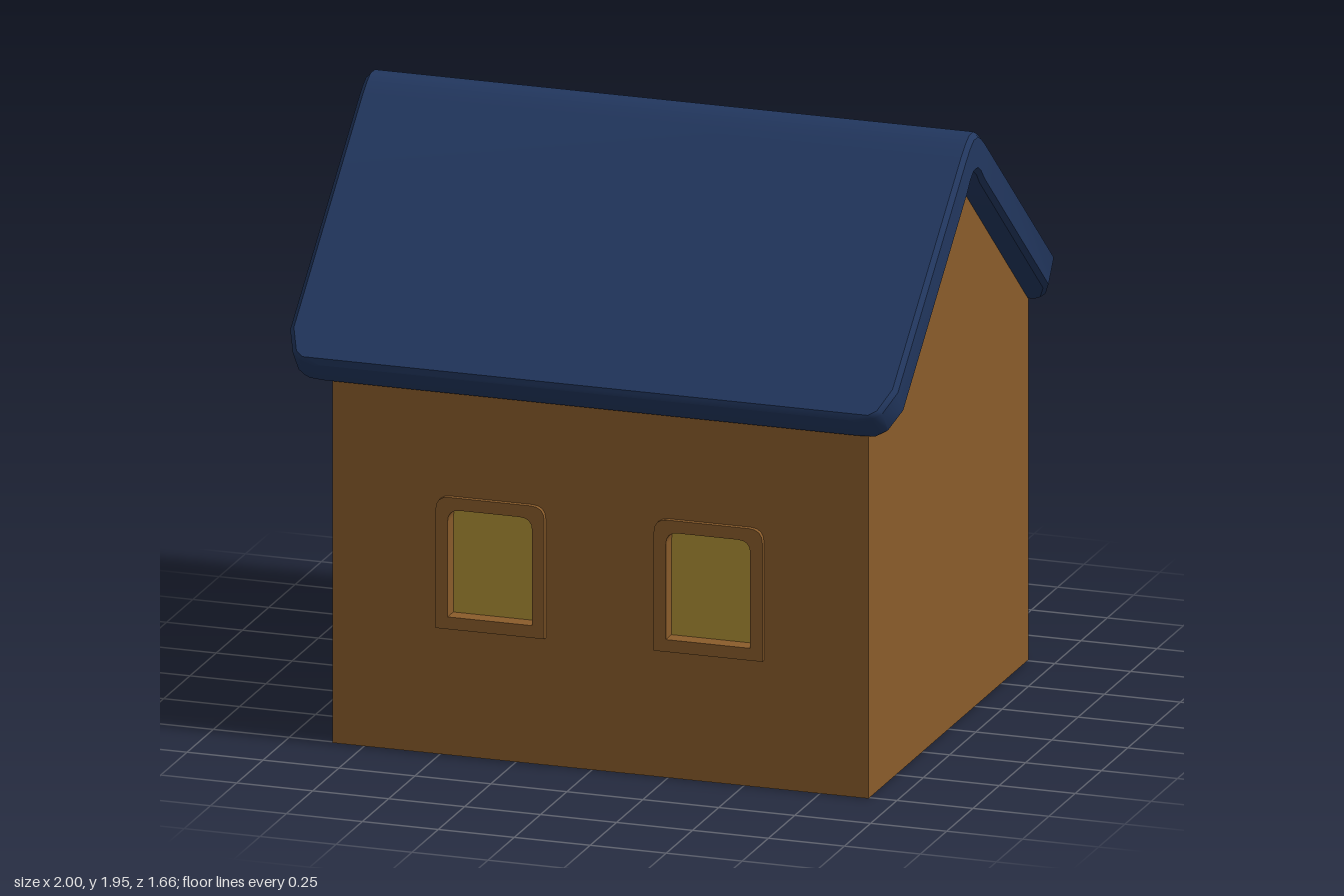
import * as THREE from 'three';
import { toCreasedNormals } from 'three/addons/utils/BufferGeometryUtils.js';

const mat = (color) => new THREE.MeshStandardMaterial({ color });
const WALL = mat(0x8a5c2b), ROOF = mat(0x22375f), GLASS = mat(0xb09035);
const STONE = mat(0x61503c), DOOR = mat(0x4a3a28);

function add(parent, name, geometry, material) {
  const mesh = new THREE.Mesh(geometry, material);
  mesh.name = name;
  parent.add(mesh);
  return mesh;
}

// Extrude a shape from z0 to z1, with an optional chamfer on the front and back edges
function slab(shape, z0, z1, bevel = 0) {
  const g = new THREE.ExtrudeGeometry(shape, {
    depth: z1 - z0 - 2 * bevel, bevelEnabled: bevel > 0, bevelSize: bevel,
    bevelThickness: bevel, bevelOffset: -bevel, bevelSegments: 1, curveSegments: 4,
  });
  g.translate(0, 0, z0 + bevel);
  return toCreasedNormals(g, 0.6);
}

// Rectangle with rounded top corners
function arch(path, cx, hw, y0, y1, r) {
  path.moveTo(cx - hw, y0);
  path.lineTo(cx + hw, y0);
  path.lineTo(cx + hw, y1 - r);
  path.quadraticCurveTo(cx + hw, y1, cx + hw - r, y1);
  path.lineTo(cx - hw + r, y1);
  path.quadraticCurveTo(cx - hw, y1, cx - hw, y1 - r);
  path.lineTo(cx - hw, y0);
  return path;
}

const polygon = (pts) => new THREE.Shape(pts.map(([x, y]) => new THREE.Vector2(x, y)));

// Gable outline in z and y; tops reach slightly into the roof
function gable(front, frontTop, notch = []) {
  return polygon([
    [-0.76, 0], ...notch, [front, 0], [front, frontTop],
    [0.08, 1.772], [0.05, 1.805], [0.02, 1.825], [-0.02, 1.825], [-0.05, 1.805], [-0.08, 1.772],
    [-0.76, 1.182],
  ]);
}

// Bent roof plate: chamfered cross-sections swept from the back eave to the front eave
function roofGeometry() {
  const lerp = THREE.MathUtils.lerp;
  // Each station: outer z, outer y, inner z, inner y, half width
  const half = [[0.02, 1.95, 0.02, 1.82, 1], [0.055, 1.932, 0.05, 1.8, 1], [0.1, 1.898, 0.08, 1.765, 1]];
  for (const [s, w, squeeze] of [[0.88, 1, 0], [0.965, 0.97, 0], [0.985, 0.945, 0], [1, 0.89, 0.14]]) {
    const o = [lerp(0.1, 0.838, s), lerp(1.898, 1.262, s)];
    const i = [lerp(0.08, 0.765, s), lerp(1.765, 1.172, s)];
    half.push([lerp(o[0], i[0], squeeze), lerp(o[1], i[1], squeeze),
      lerp(i[0], o[0], squeeze), lerp(i[1], o[1], squeeze), w]);
  }
  const back = half.map(([a, b, c, d, w]) => [-a, b, -c, d, w]).reverse();
  const stations = [...back, ...half];
  const pos = [], idx = [], n = 8, b = 0.015;
  for (const [oz, oy, iz, iy, w] of stations) {
    const ring = [[w, 0.12], [w, 0.88], [w - b, 1], [b - w, 1], [-w, 0.88], [-w, 0.12], [b - w, 0], [w - b, 0]];
    for (const [x, k] of ring) pos.push(x, lerp(iy, oy, k), lerp(iz, oz, k));
  }
  const last = (stations.length - 1) * n;
  for (let s = 0; s < last; s += n) {
    for (let j = 0; j < n; j++) {
      const k = (j + 1) % n;
      idx.push(s + j, s + k, s + n + k, s + j, s + n + k, s + n + j);
    }
  }
  for (let j = 1; j < n - 1; j++) idx.push(last, last + j, last + j + 1, 0, j + 1, j);
  const g = new THREE.BufferGeometry();
  g.setAttribute('position', new THREE.Float32BufferAttribute(pos, 3));
  g.setIndex(idx);
  return toCreasedNormals(g, 0.6);
}

export function createModel() {
  const house = new THREE.Group();
  house.name = 'house';

  // Side group: local x runs along world z, local z along world -x
  const side = new THREE.Group();
  side.name = 'doorSide';
  side.rotation.y = -Math.PI / 2;
  house.add(side);

  // Walls: solid core, door wall with a notch, front wall with window holes
  add(side, 'houseBody', slab(gable(0.715, 1.22), -0.91, 0.77), WALL);
  const notch = [[-0.4, 0], [-0.4, 0.91], [0.4, 0.91], [0.4, 0]];
  add(side, 'doorWall', slab(gable(0.76, 1.182, notch), 0.77, 0.855), WALL);

  const windows = [-0.331, 0.387];
  const front = polygon([[-0.77, 0], [0.91, 0], [0.91, 1.182], [-0.77, 1.182]]);
  for (const x of windows) front.holes.push(arch(new THREE.Path(), x, 0.16, 0.435, 0.825, 0.04));
  add(house, 'frontWall', slab(front, 0.715, 0.76), WALL);

  // Front windows
  for (const x of windows) {
    const frame = arch(new THREE.Shape(), x, 0.179, 0.415, 0.845, 0.045);
    frame.holes.push(arch(new THREE.Path(), x, 0.139, 0.455, 0.805, 0.04));
    add(house, 'windowFrame', slab(frame, 0.715, 0.776), WALL);
    add(house, 'windowPane', slab(arch(new THREE.Shape(), x, 0.15, 0.445, 0.815, 0.04), 0.71, 0.722), GLASS);
  }

  // Door surround: an upside-down U with rounded corners
  const U = new THREE.Shape();
  U.moveTo(0.45, 0);
  U.lineTo(0.45, 0.91);
  U.quadraticCurveTo(0.45, 0.975, 0.385, 0.975);
  U.lineTo(-0.385, 0.975);
  U.quadraticCurveTo(-0.45, 0.975, -0.45, 0.91);
  U.lineTo(-0.45, 0);
  U.lineTo(-0.32, 0);
  U.lineTo(-0.32, 0.8);
  U.quadraticCurveTo(-0.32, 0.85, -0.27, 0.85);
  U.lineTo(0.27, 0.85);
  U.quadraticCurveTo(0.32, 0.85, 0.32, 0.8);
  U.lineTo(0.32, 0);
  add(side, 'doorSurround', slab(U, 0.772, 0.915, 0.012), STONE);

  // Door with a glazed opening
  const door = arch(new THREE.Shape(), 0, 0.335, 0, 0.87, 0.03);
  door.holes.push(arch(new THREE.Path(), 0, 0.21, 0.38, 0.8, 0.04));
  add(side, 'door', slab(door, 0.765, 0.797), DOOR);
  add(side, 'doorPane', slab(arch(new THREE.Shape(), 0, 0.22, 0.37, 0.81, 0.04), 0.76, 0.78), GLASS);

  add(house, 'roof', roofGeometry(), ROOF);
  return house;
}
